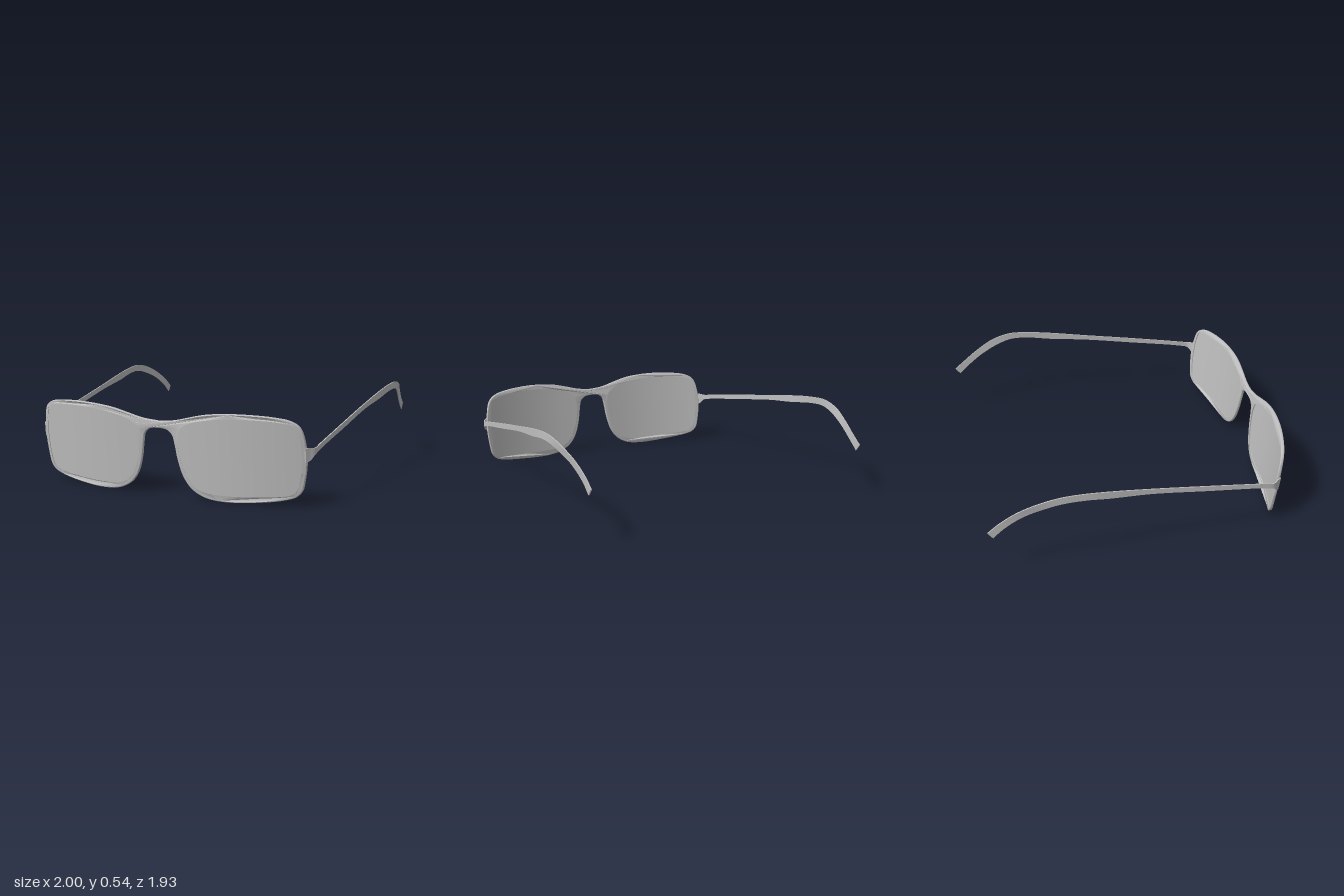
import * as THREE from 'three';
import { mergeVertices, toCreasedNormals } from 'three/addons/utils/BufferGeometryUtils.js';

// Right half of the frame outline: bridge top, around the rim, back to the bridge underside
const FRAME = [
  [0, .455], [.1, .465], [.2, .49], [.3, .514], [.42, .527], [.55, .53], [.7, .521], [.79, .503], [.84, .468],
  [.866, .39], [.875, .27], [.863, .16], [.848, .095], [.815, .058], [.75, .036], [.6, .014], [.4, .002],
  [.28, .018], [.2, .062], [.15, .13], [.118, .23], [.103, .32], [.088, .378], [.055, .405], [0, .412],
];
// Lens opening
const LENS = [
  [.121, .36], [.14, .42], [.2, .46], [.32, .49], [.45, .505], [.6, .507], [.75, .495], [.82, .472], [.845, .41],
  [.855, .3], [.849, .19], [.83, .105], [.8, .07], [.74, .054], [.6, .042], [.4, .035], [.27, .046], [.2, .088],
  [.15, .18], [.125, .28],
];
// Temple stations: x, then z and y of the top edge, then z and y of the bottom edge
const TEMPLE = [
  [.868, .84, .35, .83, .265], [.885, .815, .35, .81, .275], [.905, .785, .345, .785, .305],
  [.912, .7, .36, .7, .328], [.934, .35, .42, .35, .386], [.955, 0, .477, 0, .443],
  [.975, -.25, .517, -.25, .47], [.988, -.42, .537, -.4, .492], [.996, -.55, .54, -.53, .497],
  [.988, -.68, .51, -.63, .475], [.965, -.8, .45, -.76, .42], [.95, -.9, .38, -.87, .345],
  [.948, -.968, .325, -.938, .285],
];

// Wrap and tilt of the whole front
const frontZ = (x, y) => {
  const a = Math.abs(x);
  return .955 - .3 * Math.max(0, a - .25) ** 2 - .008 * Math.exp(-((a / .12) ** 2)) + .1 * (y - .5);
};

function smooth(points, closed, count) {
  const curve = new THREE.CatmullRomCurve3(points.map(([x, y]) => new THREE.Vector3(x, y, 0)), closed);
  const list = curve.getPoints(count).map((p) => new THREE.Vector2(p.x, p.y));
  if (closed) list.pop();
  return list;
}

const mirror = (points) => points.map((p) => new THREE.Vector2(-p.x, p.y)).reverse();

function frameGeometry() {
  const half = smooth(FRAME, false, 120);
  const hole = smooth(LENS, true, 100);
  const shape = new THREE.Shape([...half, ...mirror(half).slice(1, -1)]);
  shape.holes.push(new THREE.Path(hole), new THREE.Path(mirror(hole)));
  const geo = new THREE.ExtrudeGeometry(shape, {
    depth: .01, bevelEnabled: true, bevelThickness: .006, bevelSize: .006, bevelOffset: -.006, bevelSegments: 3,
  });
  geo.translate(0, 0, -.005);
  const pos = geo.attributes.position;
  for (let i = 0; i < pos.count; i++) {
    pos.setZ(i, pos.getZ(i) + frontZ(pos.getX(i), pos.getY(i)));
  }
  geo.deleteAttribute('uv');
  geo.deleteAttribute('normal');
  geo.clearGroups();
  return toCreasedNormals(mergeVertices(geo, 1e-5), .7);
}

// Curved lens sheet made from shrinking rings of the opening
function lensGeometry(side) {
  const outline = smooth(LENS, true, 100);
  const n = outline.length, rings = 10, cx = .49, cy = .27;
  const position = [], index = [];
  for (let r = 0; r <= rings; r++) {
    const k = 1.006 * (1 - r / rings);
    for (const p of outline) {
      const x = side * (cx + (p.x - cx) * k), y = cy + (p.y - cy) * k;
      position.push(x, y, frontZ(x, y));
    }
  }
  for (let r = 0; r < rings; r++) {
    for (let i = 0; i < n; i++) {
      const a = r * n + i, b = r * n + (i + 1) % n, c = a + n, d = b + n;
      // The outline runs clockwise seen from the front
      const tris = r === rings - 1 ? [[a, c, b]] : [[a, c, b], [b, c, d]];
      for (const [u, v, w] of tris) index.push(...(side > 0 ? [u, v, w] : [u, w, v]));
    }
  }
  const geo = new THREE.BufferGeometry();
  geo.setAttribute('position', new THREE.Float32BufferAttribute(position, 3));
  geo.setIndex(index);
  geo.computeVertexNormals();
  return geo;
}

// Thin curved bar swept through the temple stations
function templeGeometry(side) {
  const edge = (zi, yi) => new THREE.CatmullRomCurve3(
    TEMPLE.map((s) => new THREE.Vector3(s[0], s[yi], s[zi]))).getPoints(84);
  const top = edge(1, 2), bottom = edge(3, 4), t = .0035;
  const position = [], index = [];
  top.forEach((p, i) => {
    const q = bottom[i];
    for (const [v, dx] of [[p, t], [p, -t], [q, -t], [q, t]]) position.push(side * (v.x + dx), v.y, v.z);
  });
  const quad = (a, b, c, d) => index.push(...(side > 0 ? [a, b, c, a, c, d] : [a, c, b, a, d, c]));
  const last = (top.length - 1) * 4;
  for (let o = 0; o < last; o += 4) {
    for (let k = 0; k < 4; k++) {
      const m = (k + 1) % 4;
      quad(o + k, o + k + 4, o + m + 4, o + m);
    }
  }
  quad(0, 1, 2, 3);
  quad(last + 3, last + 2, last + 1, last);
  const geo = new THREE.BufferGeometry();
  geo.setAttribute('position', new THREE.Float32BufferAttribute(position, 3));
  geo.setIndex(index);
  return toCreasedNormals(geo, .7);
}

export function createModel() {
  const group = new THREE.Group();
  group.name = 'eyeglasses';
  const grey = new THREE.MeshStandardMaterial({ color: 0xbfbfbf, side: THREE.DoubleSide });
  grey.name = 'light grey';

  const add = (name, geometry) => {
    const mesh = new THREE.Mesh(geometry, grey);
    mesh.name = name;
    group.add(mesh);
  };

  add('frontFrame', frameGeometry());
  for (const [side, label] of [[1, 'left'], [-1, 'right']]) {
    add(label + 'Lens', lensGeometry(side));
    add(label + 'Temple', templeGeometry(side));
  }
  return group;
}
